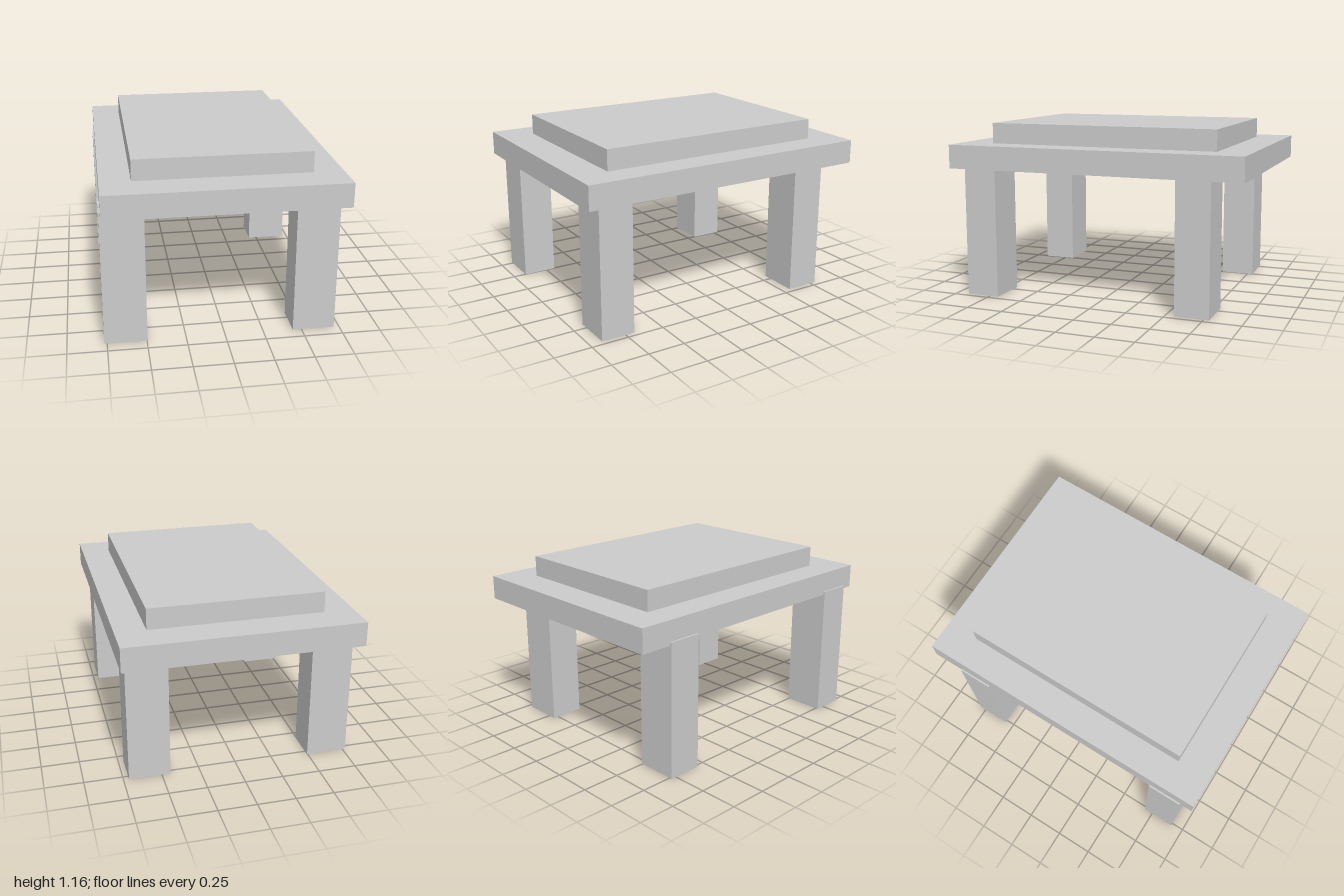
import * as THREE from 'three';

const material = new THREE.MeshStandardMaterial({ color: 0xcccccc, flatShading: true });

// Box given by its extents along each axis
function box(name, [x0, x1], [y0, y1], [z0, z1]) {
  const mesh = new THREE.Mesh(new THREE.BoxGeometry(x1 - x0, y1 - y0, z1 - z0), material);
  mesh.position.set((x0 + x1) / 2, (y0 + y1) / 2, (z0 + z1) / 2);
  mesh.name = name;
  return mesh;
}

export function createModel() {
  const model = new THREE.Group();
  model.name = 'table';

  // Table top with a smaller raised panel on it
  model.add(box('tableTop', [-0.757, 0.765], [0.867, 1.025], [-1, 1]));
  model.add(box('raisedPanel', [-0.56, 0.57], [1.02, 1.162], [-0.78, 0.776]));

  // Four legs, set slightly off centre and let into the top
  const sides = { Right: [-0.768, -0.496], Left: [0.443, 0.715] };
  const ends = { front: [0.688, 0.914], back: [-0.786, -0.56] };
  for (const [end, z] of Object.entries(ends)) {
    for (const [side, x] of Object.entries(sides)) {
      model.add(box(`${end}${side}Leg`, x, [0, 0.89], z));
    }
  }
  return model;
}
